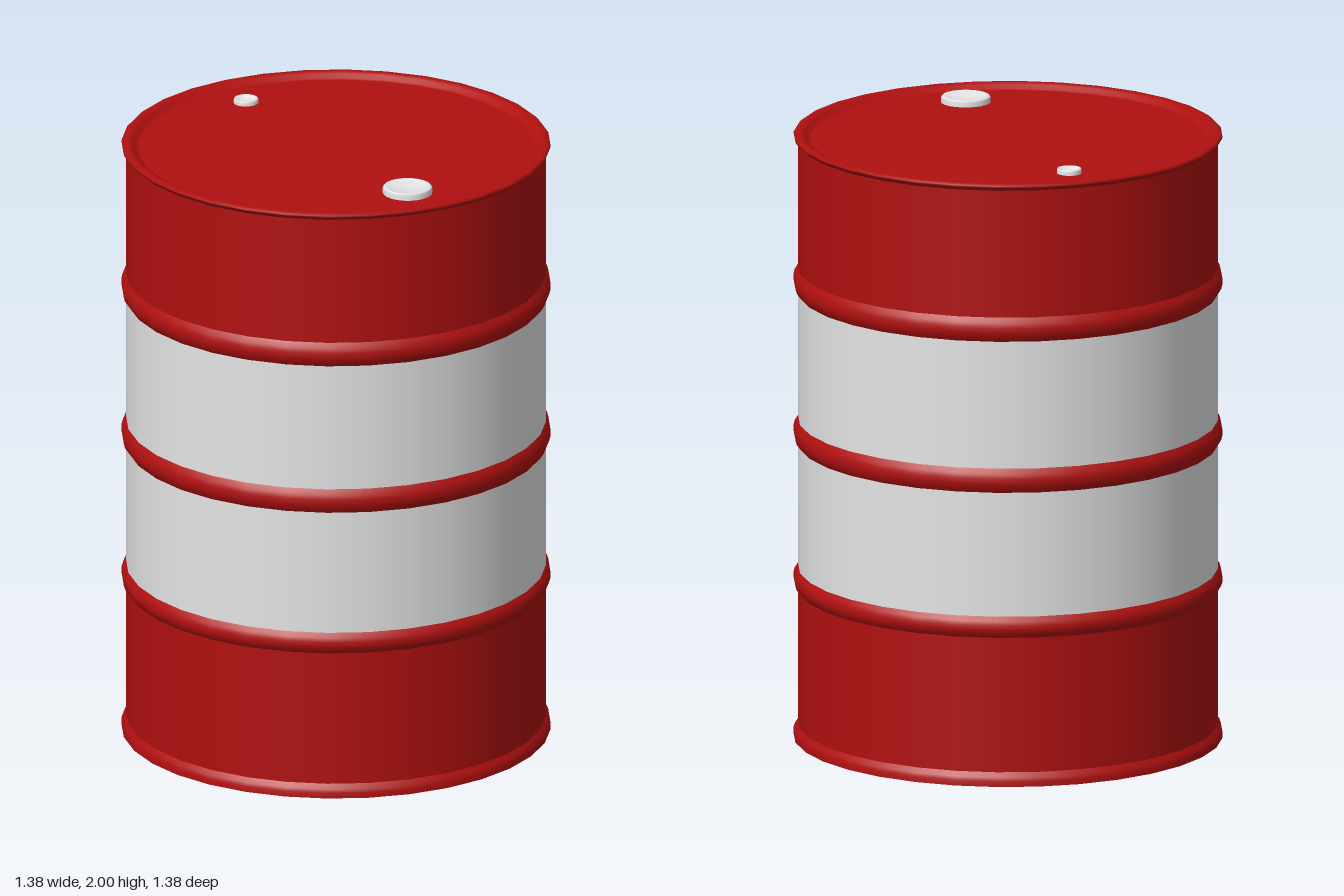
import * as THREE from 'three';

const SIDES = 32;
const R = 0.675; // shell radius
const RIB = 0.69; // rib and rim radius

const red = new THREE.MeshStandardMaterial({ color: 0xb01010 });
red.name = 'red paint';
const white = new THREE.MeshStandardMaterial({ color: 0xe4e4e4 });
white.name = 'white paint';

export function createModel() {
  const drum = new THREE.Group();
  drum.name = 'drum';

  // Revolve a profile of [radius, height] points, listed from bottom to top
  function lathe(name, profile, material, sides = SIDES) {
    const points = profile.map(([r, y]) => new THREE.Vector2(r, y));
    const mesh = new THREE.Mesh(new THREE.LatheGeometry(points, sides), material);
    mesh.name = name;
    drum.add(mesh);
    return mesh;
  }

  // Underside
  const base = new THREE.Mesh(new THREE.CircleGeometry(RIB, SIDES), red);
  base.name = 'base';
  base.rotation.x = Math.PI / 2;
  drum.add(base);

  // Plain shell sections between the ribs
  const bands = [
    ['lowerShell', 0.04, 0.49, red],
    ['lowerBand', 0.56, 0.97, white],
    ['upperBand', 1.05, 1.47, white],
    ['upperShell', 1.55, 1.975, red],
  ];
  for (const [name, y0, y1, material] of bands) lathe(name, [[R, y0], [R, y1]], material);

  // Rolling ribs
  [[0.49, 0.56], [0.97, 1.05], [1.47, 1.55]].forEach(([y0, y1], i) => {
    const h = y1 - y0;
    lathe('rib' + (i + 1), [
      [R, y0], [RIB - 0.004, y0 + h * 0.2], [RIB, y0 + h * 0.4],
      [RIB, y0 + h * 0.6], [RIB - 0.004, y0 + h * 0.8], [R, y1],
    ], red);
  });

  // Bottom and top rims
  lathe('bottomRim', [[RIB, 0], [RIB, 0.018], [RIB - 0.004, 0.03], [R, 0.045]], red);
  lathe('topRim', [
    [R, 1.97], [RIB - 0.002, 1.982], [RIB, 1.988], [RIB - 0.006, 1.994],
    [0.668, 1.995], [0.655, 1.99], [0.645, 1.978], [0.635, 1.976],
  ], red);

  // Slightly domed lid
  lathe('lid', [[0.636, 1.976], [0.42, 1.979], [0.2, 1.981], [0, 1.982]], red);

  // Dished bung caps on the lid
  function bung(name, x, z, r, top) {
    const cap = lathe(name, [
      [r, 1.97], [r, top - 0.006], [r * 0.95, top - 0.001], [r * 0.86, top],
      [r * 0.75, top - 0.004], [r * 0.45, top - 0.009], [0, top - 0.011],
    ], white, 24);
    cap.position.set(x, 0, z);
  }
  bung('largeBung', -0.03, 0.49, 0.08, 2);
  bung('smallBung', -0.03, -0.505, 0.04, 1.994);

  return drum;
}
